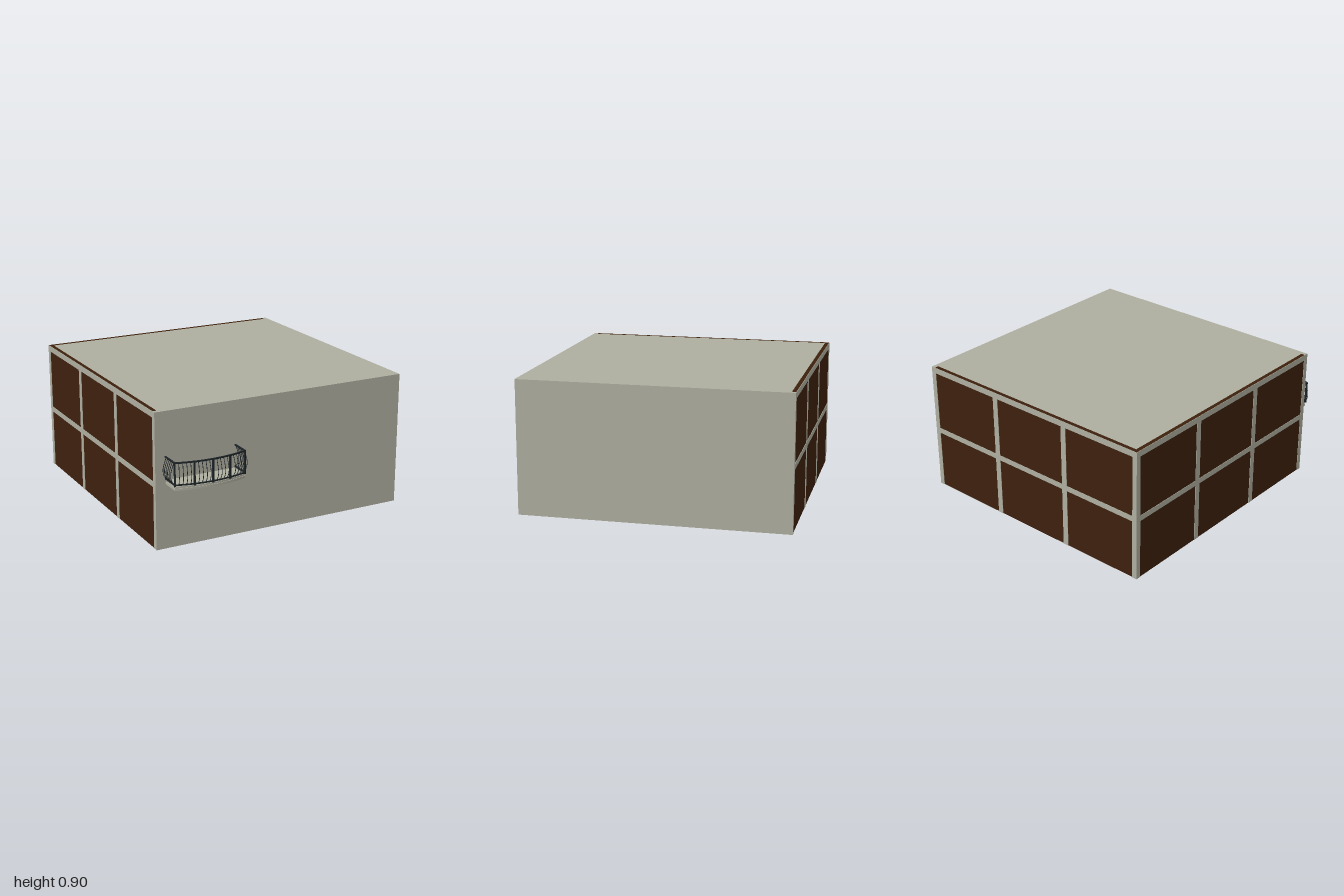
import * as THREE from 'three';

const stone = new THREE.MeshStandardMaterial({ color: 0xaeaea0 });
stone.name = 'warm grey stone';
const wood = new THREE.MeshStandardMaterial({ color: 0x3d200d });
wood.name = 'dark brown wood';
const iron = new THREE.MeshStandardMaterial({ color: 0x1e2528 });
iron.name = 'dark iron';

// Box given by its minimum and maximum corners
function box(name, mat, x0, x1, y0, y1, z0, z1) {
  const m = new THREE.Mesh(new THREE.BoxGeometry(x1 - x0, y1 - y0, z1 - z0), mat);
  m.position.set((x0 + x1) / 2, (y0 + y1) / 2, (z0 + z1) / 2);
  m.name = name;
  return m;
}

const H = 0.905, T = 0.03, SKIN = 0.003;
const FRONT = 0.805;

// Balcony plan: straight sides and a shallow curved front
const CX = -0.5875, HALF = 0.2425, R = 0.755, CZ = 0.22, SIDE_Z = 0.935;

function outline(offset) {
  const r = R + offset, a = Math.asin((HALF + offset) / r), pts = [];
  pts.push(new THREE.Vector2(CX - HALF - offset, FRONT));
  for (let i = 0; i <= 24; i++) {
    const t = -a + (2 * a * i) / 24;
    pts.push(new THREE.Vector2(CX + r * Math.sin(t), CZ + r * Math.cos(t)));
  }
  pts.push(new THREE.Vector2(CX + HALF + offset, FRONT));
  return pts;
}

// Extrude a plan outline upwards between two heights
function slab(name, mat, pts, y0, y1) {
  const g = new THREE.ExtrudeGeometry(new THREE.Shape(pts), { depth: y1 - y0, bevelEnabled: false });
  g.rotateX(Math.PI / 2);
  const m = new THREE.Mesh(g, mat);
  m.position.y = y1;
  m.name = name;
  return m;
}

function rail(name, w, y0, y1) {
  return slab(name, iron, [...outline(w), ...outline(-w).reverse()], y0, y1);
}

// Thin bar that bellies outwards along its local +z
const balusterGeo = new THREE.TubeGeometry(new THREE.CatmullRomCurve3([
  new THREE.Vector3(0, 0.468, 0), new THREE.Vector3(0, 0.495, 0.017),
  new THREE.Vector3(0, 0.53, 0.023), new THREE.Vector3(0, 0.57, 0.014),
  new THREE.Vector3(0, 0.608, 0),
]), 12, 0.0022, 5);
const postGeo = new THREE.BoxGeometry(0.011, 0.158, 0.011);

function upright(geo, name, x, y, z, angle) {
  const m = new THREE.Mesh(geo, iron);
  m.position.set(x, y, z);
  m.rotation.y = angle;
  m.name = name;
  return m;
}

function createBalcony() {
  const g = new THREE.Group();
  g.name = 'balcony';
  g.add(slab('balconySlabLower', stone, outline(0), 0.43, 0.445));
  g.add(slab('balconySlabUpper', stone, outline(-0.004), 0.445, 0.457));
  g.add(rail('bottomRail', 0.004, 0.463, 0.471));
  g.add(rail('topRail', 0.005, 0.606, 0.615));

  // Curved front: four bays with a post at each division
  const a = Math.asin(HALF / R), bays = 4, perBay = 5;
  for (let i = 0; i <= bays * perBay; i++) {
    const t = -a + (2 * a * i) / (bays * perBay);
    const x = CX + R * Math.sin(t), z = CZ + R * Math.cos(t);
    if (i % perBay === 0) g.add(upright(postGeo, 'railingPost', x, 0.536, z, t));
    else g.add(upright(balusterGeo, 'frontBaluster', x, 0, z, t));
  }
  // Straight sides
  for (const s of [-1, 1]) {
    for (let i = 0; i < 6; i++) {
      const z = FRONT + ((SIDE_Z - FRONT) * (i + 0.5)) / 6;
      g.add(upright(balusterGeo, 'sideBaluster', CX + s * HALF, 0, z, s * Math.PI / 2));
    }
  }
  return g;
}

// Grid of thin plates: four uprights, a top rail and a middle rail
function createFrame(name, length) {
  const g = new THREE.Group();
  g.name = name;
  const w = 0.04, h = length / 2;
  for (let i = 0; i <= 3; i++) {
    const c = -h + (length * i) / 3;
    g.add(box('frameUpright', stone, Math.max(c - w / 2, -h) - (i === 3 ? 0.015 : 0),
      Math.min(c + w / 2, h) + (i === 0 ? 0.015 : 0), 0, H, 0, SKIN));
  }
  // Rails fill the gaps between the uprights
  for (let i = 0; i < 3; i++) {
    const x0 = -h + (length * i) / 3 + (i === 0 ? 0.035 : w / 2);
    const x1 = -h + (length * (i + 1)) / 3 - (i === 2 ? 0.035 : w / 2);
    g.add(box('frameTopRail', stone, x0, x1, H - 0.04, H, 0, SKIN));
    g.add(box('frameMiddleRail', stone, x0, x1, 0.412, 0.449, 0, SKIN));
  }
  return g;
}

export function createModel() {
  const model = new THREE.Group();
  model.name = 'building';

  // Open-bottomed shell: two stone walls, two timber walls and a roof
  model.add(box('frontWall', stone, -0.9, 0.9, 0, H, FRONT - T, FRONT));
  model.add(box('leftWall', stone, 0.9 - T, 0.9, 0, H, -1 + SKIN, FRONT - T));
  model.add(box('backWall', wood, -0.9 + SKIN, 0.9 - T, 0, H, -1 + SKIN, -1 + T));
  model.add(box('rightWall', wood, -0.9 + SKIN, -0.9 + T, 0, H, -1 + T, FRONT - T));
  model.add(box('roof', stone, -0.9 + T, 0.9 - T, H - T, H, -1 + T, FRONT - T));

  // Timber framing on the back and right walls
  const back = createFrame('backFrame', 1.8);
  back.rotation.y = Math.PI;
  back.position.z = -1 + SKIN;
  model.add(back);
  const right = createFrame('rightFrame', FRONT + 1);
  right.rotation.y = -Math.PI / 2;
  right.position.set(-0.9 + SKIN, 0, (FRONT - 1) / 2);
  model.add(right);

  model.add(createBalcony());
  return model;
}
